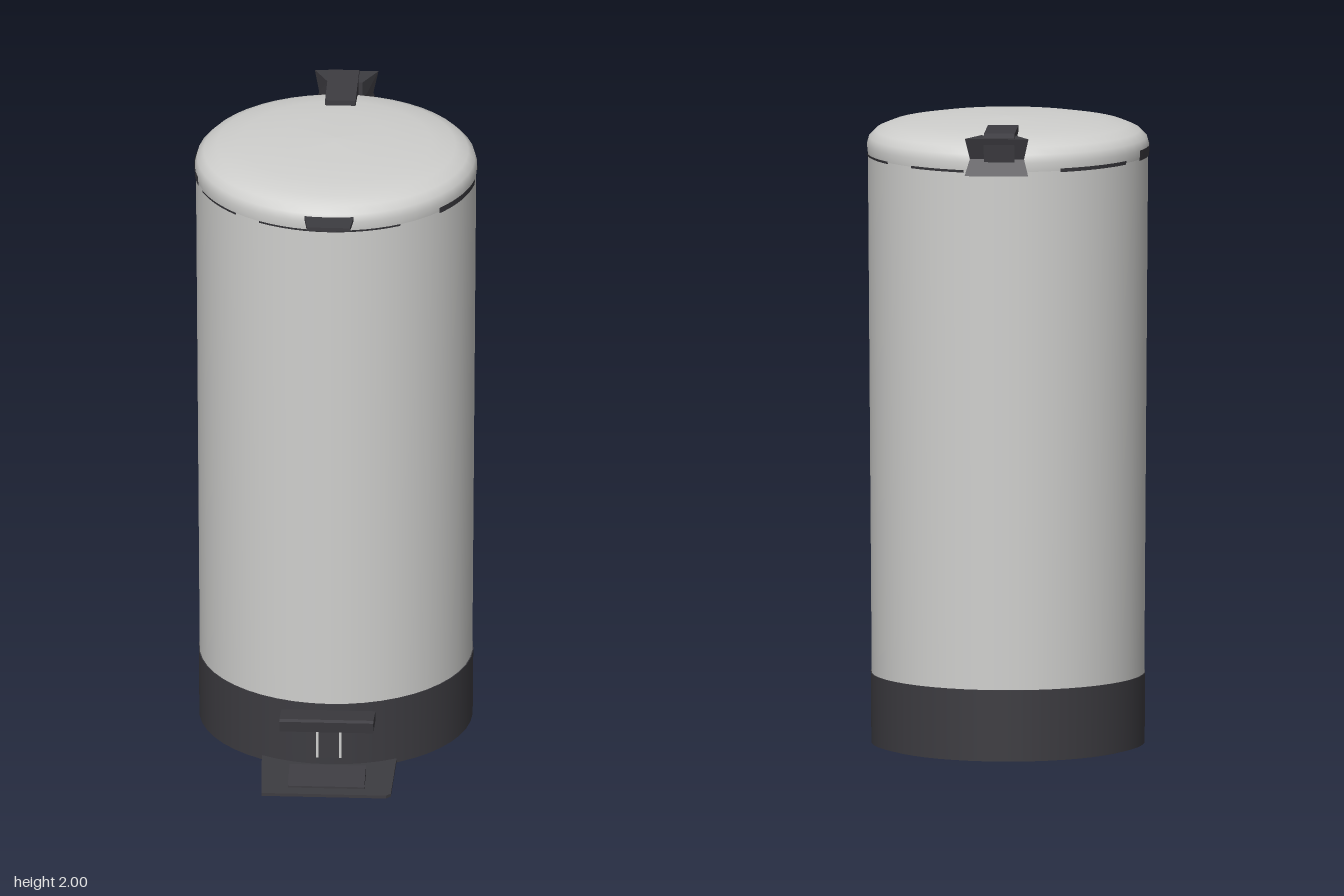
import * as THREE from 'three';

const CZ = -0.068; // centre of the round body in z
const rad = THREE.MathUtils.degToRad;

export function createModel() {
  const root = new THREE.Group();
  const silver = new THREE.MeshStandardMaterial({ color: 0xd0d0ce });
  silver.name = 'silver';
  const dark = new THREE.MeshStandardMaterial({ color: 0x3d3c41 });
  dark.name = 'darkPlastic';
  const darkThin = dark.clone();
  darkThin.side = THREE.DoubleSide;

  const add = (name, geo, mat, x = 0, y = 0, z = 0) => {
    const m = new THREE.Mesh(geo, mat);
    m.name = name;
    m.position.set(x, y, z);
    root.add(m);
    return m;
  };
  const lathe = (pts) => new THREE.LatheGeometry(pts.map(p => new THREE.Vector2(...p)), 48);
  // side profile given as (z, y) points, swept across x
  const sweep = (pts, width) => {
    const shape = new THREE.Shape(pts.map(p => new THREE.Vector2(...p)));
    const g = new THREE.ExtrudeGeometry(shape, { depth: width, bevelEnabled: false });
    return g.translate(0, 0, -width / 2).rotateY(-Math.PI / 2);
  };

  // round body, slightly wider at the top
  add('body', new THREE.CylinderGeometry(0.44, 0.428, 1.65, 48, 1, true), silver, 0, 1.05, CZ);
  // domed lid
  add('lid', lathe([[0.44, 1.872], [0.443, 1.9], [0.436, 1.925], [0.415, 1.946],
    [0.375, 1.963], [0.3, 1.976], [0.17, 1.986], [0, 1.99]]), silver, 0, 0, CZ);
  // dark base
  add('base', new THREE.CylinderGeometry(0.431, 0.429, 0.222, 48), dark, 0, 0.119, CZ);

  // broken dark seam under the lid: start angle, end angle, height
  const seams = [[-30, 30, 0.007], [50, 82, 0.02], [95, 125, 0.008], [140, 165, 0.008],
    [205, 240, 0.012], [252, 286, 0.033], [292, 318, 0.008]];
  for (const [a, b, h] of seams) {
    add('lidSeam', new THREE.CylinderGeometry(0.4445, 0.4425, h, 12, 1, true, rad(a), rad(b - a)),
      darkThin, 0, 1.868 + h / 2, CZ);
  }

  // lid handle: thin tapered tab with a small stem
  const tab = new THREE.Shape([[-0.08, -0.34], [-0.065, -0.447], [0.07, -0.447], [0.08, -0.34]]
    .map(p => new THREE.Vector2(...p)).reverse());
  add('lidHandle', new THREE.ExtrudeGeometry(tab, { depth: 0.012, bevelEnabled: false })
    .rotateX(-Math.PI / 2), dark, 0, 1.905, 0);
  add('handleStem', new THREE.BoxGeometry(0.045, 0.035, 0.02), dark, 0, 1.888, 0.368);

  // hinge arm lying over the back of the lid
  add('hingeArm', sweep([[-0.33, 1.996], [-0.33, 1.975], [-0.49, 1.9], [-0.56, 1.9],
    [-0.572, 1.988], [-0.55, 2]], 0.096), dark);
  // waisted hinge bracket, flared at top and bottom
  const bracket = new THREE.BoxGeometry(1, 1, 1, 1, 2, 1);
  const bp = bracket.attributes.position;
  for (let i = 0; i < bp.count; i++) {
    const y = bp.getY(i), back = bp.getZ(i) < 0;
    const [h, backZ, halfBack] = y < -0.1 ? [1.87, -0.59, 0.1]
      : y > 0.1 ? [1.986, -0.575, 0.1] : [1.92, -0.555, 0.085];
    const half = back ? halfBack : 0.055;
    bp.setXYZ(i, Math.sign(bp.getX(i)) * half + 0.007, h, back ? backZ : -0.49);
  }
  const flatBracket = bracket.toNonIndexed();
  flatBracket.computeVertexNormals();
  add('hingeBracket', flatBracket, dark);

  // pedal, tilted up towards the front, with its arm
  add('pedal', sweep([[0.385, 0.19], [0.52, 0.206], [0.526, 0.242], [0.515, 0.247],
    [0.39, 0.222]].map(([z, y]) => [z, y]), 0.295), dark);
  add('pedalArm', sweep([[0.33, 0.178], [0.43, 0.172], [0.43, 0.2], [0.33, 0.2]], 0.08), dark);
  // slot the pedal arm moves in
  add('pedalSlot', new THREE.BoxGeometry(0.07, 0.135, 0.008), dark, 0, 0.115, 0.363);
  for (const s of [-1, 1]) {
    add('slotEdge', new THREE.BoxGeometry(0.008, 0.135, 0.009), silver, s * 0.036, 0.115, 0.363);
  }

  // floor plate and its wedge-shaped pad
  const foot = new THREE.Shape([[-0.215, -0.28], [-0.2, -0.585], [0.19, -0.585], [0.205, -0.57], [0.21, -0.28]]
    .map(p => new THREE.Vector2(...p)));
  add('footPlate', new THREE.ExtrudeGeometry(foot, { depth: 0.01, bevelEnabled: false })
    .rotateX(-Math.PI / 2), dark, 0, 0.012, 0);
  add('footPad', sweep([[0.43, 0.02], [0.54, 0.02], [0.54, 0.028], [0.43, 0.052]], 0.24), dark);
  // low underside disc that touches the floor
  add('underside', new THREE.CylinderGeometry(0.4, 0.4, 0.01, 48), dark, 0, 0.005, CZ);
  return root;
}
